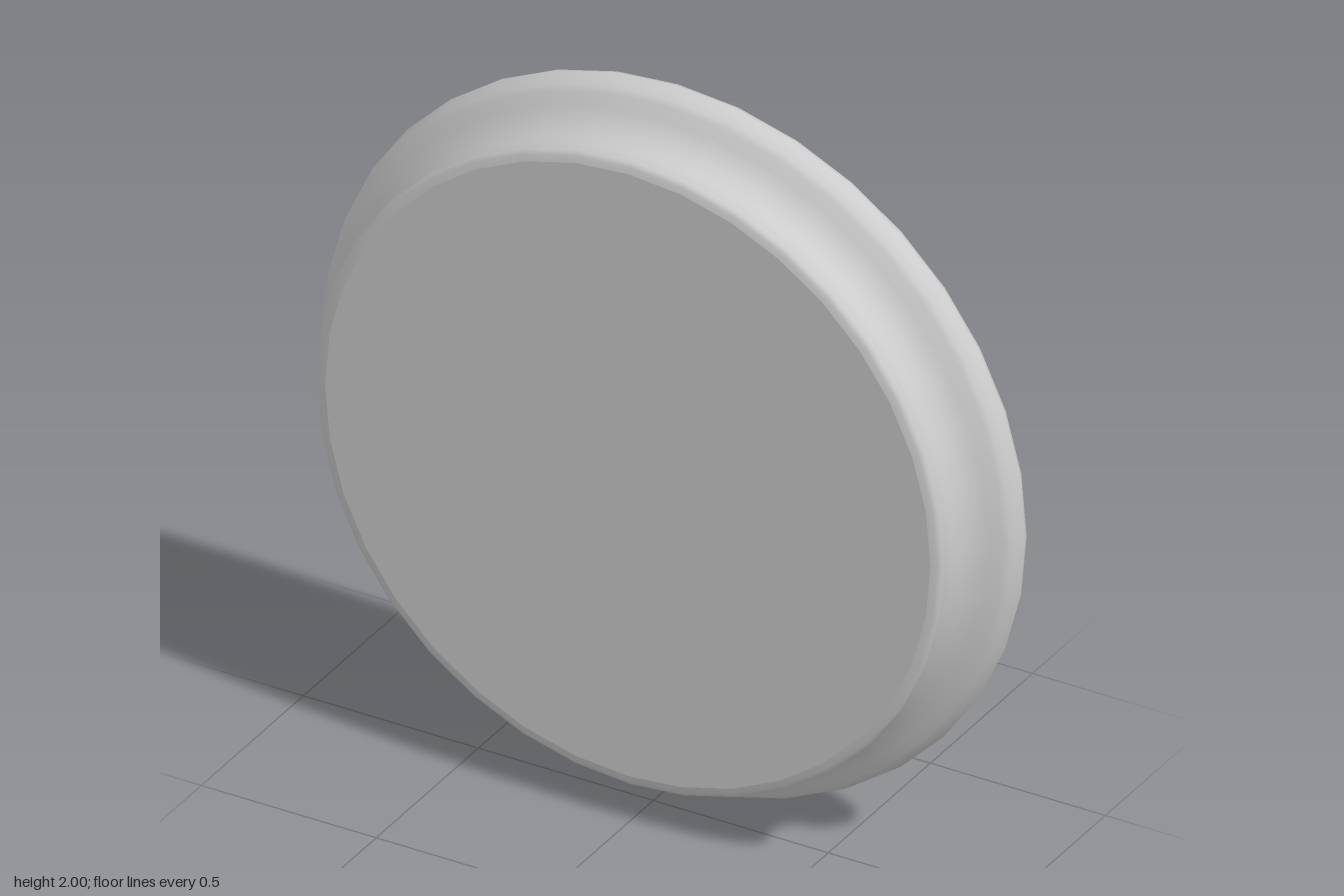
import * as THREE from 'three';

const SIDES = 36;

// Rim profile as [radius, z], from the back face to the front face
const PROFILE = [
  [0.985, -0.125], [0.997, -0.12], [1.0, -0.108], [0.994, -0.085],
  [0.985, -0.063], [0.972, -0.05], [0.942, -0.033], [0.918, -0.015],
  [0.9, 0.008], [0.888, 0.035], [0.884, 0.06], [0.887, 0.085],
  [0.895, 0.106], [0.893, 0.115], [0.882, 0.121], [0.865, 0.125],
];

export function createModel() {
  const group = new THREE.Group();
  const material = new THREE.MeshStandardMaterial({ color: 0xcccccc });

  const add = (name, geometry) => {
    const mesh = new THREE.Mesh(geometry, material);
    mesh.name = name;
    mesh.position.y = 1;
    group.add(mesh);
    return mesh;
  };

  // Moulded rim, turned around the z axis
  const points = PROFILE.map(([r, z]) => new THREE.Vector2(r, z));
  add('mouldedRim', new THREE.LatheGeometry(points, SIDES).rotateX(Math.PI / 2));

  // Flat discs closing both ends
  const [backRadius, backZ] = PROFILE[0];
  const [frontRadius, frontZ] = PROFILE[PROFILE.length - 1];
  add('frontFace', new THREE.CircleGeometry(frontRadius, SIDES)).position.z = frontZ;
  const back = add('backFace', new THREE.CircleGeometry(backRadius, SIDES).rotateY(Math.PI));
  back.position.z = backZ;

  return group;
}
